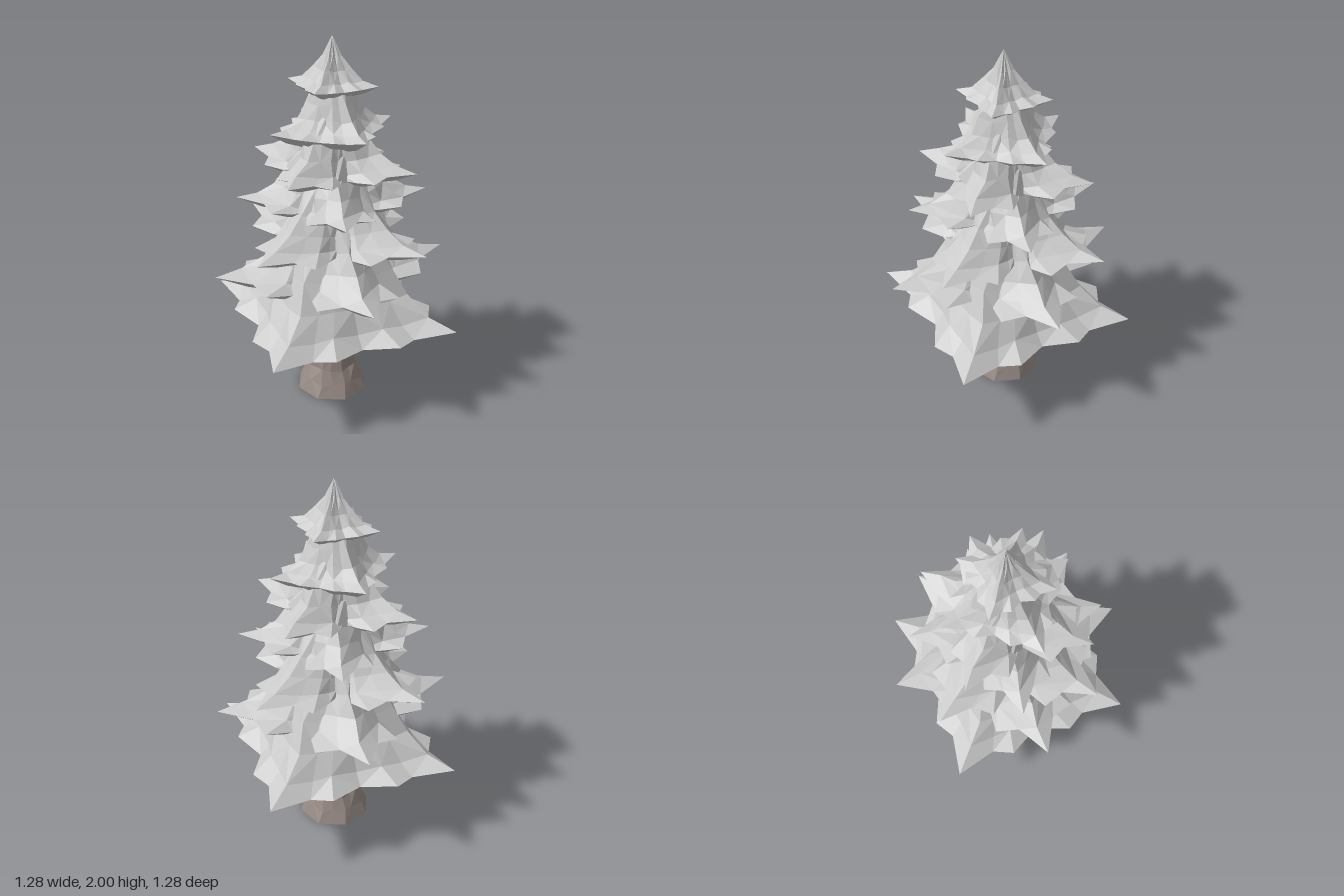
import * as THREE from 'three';

const foliage = new THREE.MeshStandardMaterial({ color: 0xcccccc, flatShading: true });
const bark = new THREE.MeshStandardMaterial({ color: 0x978a84, flatShading: true, side: THREE.DoubleSide });
const RAD = Math.PI / 180;

// Repeatable noise in -1..1
const noise = (a, b) => {
  const s = Math.sin(a * 12.9898 + b * 78.233) * 43758.5453;
  return (s - Math.floor(s)) * 2 - 1;
};

const polar = (deg, r, y) =>
  new THREE.Vector3(r * Math.cos(deg * RAD), y, r * Math.sin(deg * RAD));

// Skin closed rings, listed from top to bottom, with flat facets
function loft(rings, name, material) {
  const pos = [];
  const tri = (a, b, c) => {
    if (a.distanceTo(b) < 1e-5 || b.distanceTo(c) < 1e-5 || a.distanceTo(c) < 1e-5) return;
    for (const p of [a, b, c]) pos.push(p.x, p.y, p.z);
  };
  for (let i = 0; i < rings.length - 1; i++) {
    const n = rings[i].length;
    for (let j = 0; j < n; j++) {
      const a = rings[i][j], b = rings[i][(j + 1) % n];
      const c = rings[i + 1][j], d = rings[i + 1][(j + 1) % n];
      if ((i + j) % 2) { tri(a, b, c); tri(b, d, c); }
      else { tri(a, b, d); tri(a, d, c); }
    }
  }
  const geo = new THREE.BufferGeometry();
  geo.setAttribute('position', new THREE.Float32BufferAttribute(pos, 3));
  geo.computeVertexNormals();
  const mesh = new THREE.Mesh(geo, material);
  mesh.name = name;
  return mesh;
}

// Quarter of a rim: angle from the main tip, rim radius, radius of the slope above, droop
const mirror = (half) => [...half, ...half.slice(1, -1).reverse().map(([a, ...rest]) => [90 - a, ...rest])];
const WIDE = mirror([[0, 1, 1, 0], [13.4, 0.75, 0.8, 0.2], [26, 0.76, 0.7, 0.12], [45, 0.6, 0.62, 0.3]]);
const SPLIT = mirror([[0, 1, 1, 0], [12, 0.74, 0.78, 0.15], [27, 0.75, 0.64, 0.3], [36, 0.54, 0.52, 0.45], [45, 0.42, 0.45, 0.5]]);

// Star-shaped skirt of branches with upturned tips and a bulging underside
function tier(t, index) {
  const outline = [];
  for (let q = 0; q < 4; q++) {
    t.rim.forEach(([deg, f, slope, droop], k) => outline.push({
      deg: t.turn + deg + q * 90, r: t.r * f, slope: t.r * slope, y: t.y - droop * t.depth, k,
    }));
  }
  const ring = (fn) => outline.map(fn);
  const core = t.r * t.core;
  const top = t.y + t.rise;
  const bottom = t.y - t.depth;
  const rings = [ring(() => new THREE.Vector3(0, top, 0))];

  // Upper surface, concave from the core out to the rim
  [0, 0.22, 0.42, 0.67, 1].forEach((s, i) => rings.push(ring((o) => {
    const wobble = s > 0 && s < 1 ? noise(o.k + 1, i + index * 7) : 0;
    const edge = s < 1 ? o.slope : o.r;
    const r = core + (edge - core) * s + wobble * t.r * 0.012;
    const y = o.y + (top - o.y) * Math.pow(1 - s, t.curve) + wobble * 0.008;
    return polar(o.deg + wobble * 2, r, y);
  })));

  // Underside
  rings.push(ring((o) => polar(o.deg, o.r * 0.74, THREE.MathUtils.lerp(o.y, bottom, 0.6))));
  rings.push(ring((o) => polar(o.deg, o.r * 0.45, bottom)));
  rings.push(ring(() => new THREE.Vector3(0, bottom, 0)));
  return loft(rings, 'branchTier' + (index + 1), foliage);
}

// Trunk flaring into eight root corners, open at the ground
function trunk() {
  const profile = [[0.45, 0.125], [0.38, 0.125], [0.3, 0.12], [0.22, 0.124], [0.14, 0.137], [0.06, 0.167], [0, 0.202]];
  const rings = profile.map(([y, r], i) => {
    const points = [];
    for (let j = 0; j < 16; j++) {
      const k = j % 4;
      const free = i > 0 && i < profile.length - 1 ? 1 : 0;
      const flute = j % 2 ? 0.93 : 1;
      points.push(polar(j * 22.5 + free * noise(k, i) * 5,
        r * flute * (1 + free * 0.05 * noise(k + 5, i)), y + free * 0.025 * noise(k + 9, i)));
    }
    return points;
  });
  return loft(rings, 'trunk', bark);
}

export function createModel() {
  const tree = new THREE.Group();
  tree.name = 'tree';
  tree.add(trunk());

  // Tip height, tip radius, rotation, underside depth, rise to the core
  const tiers = [
    { y: 0.50, r: 0.715, turn: 45, depth: 0.12, rise: 0.50, core: 0.33, curve: 2, rim: WIDE },
    { y: 0.78, r: 0.642, turn: 3.2, depth: 0.135, rise: 0.32, core: 0.31, curve: 2.3, rim: SPLIT },
    { y: 0.98, r: 0.588, turn: -31, depth: 0.105, rise: 0.29, core: 0.31, curve: 2.3, rim: SPLIT },
    { y: 1.18, r: 0.50, turn: 13.8, depth: 0.10, rise: 0.25, core: 0.33, curve: 2.3, rim: SPLIT },
    { y: 1.36, r: 0.467, turn: -42, depth: 0.09, rise: 0.26, core: 0.28, curve: 2.2, rim: SPLIT },
    { y: 1.547, r: 0.347, turn: -6.7, depth: 0.095, rise: 0.24, core: 0.25, curve: 2.2, rim: WIDE },
    { y: 1.767, r: 0.24, turn: -48, depth: 0.06, rise: 0.233, core: 0, curve: 2, rim: WIDE },
  ];
  tiers.forEach((t, i) => tree.add(tier(t, i)));
  return tree;
}
